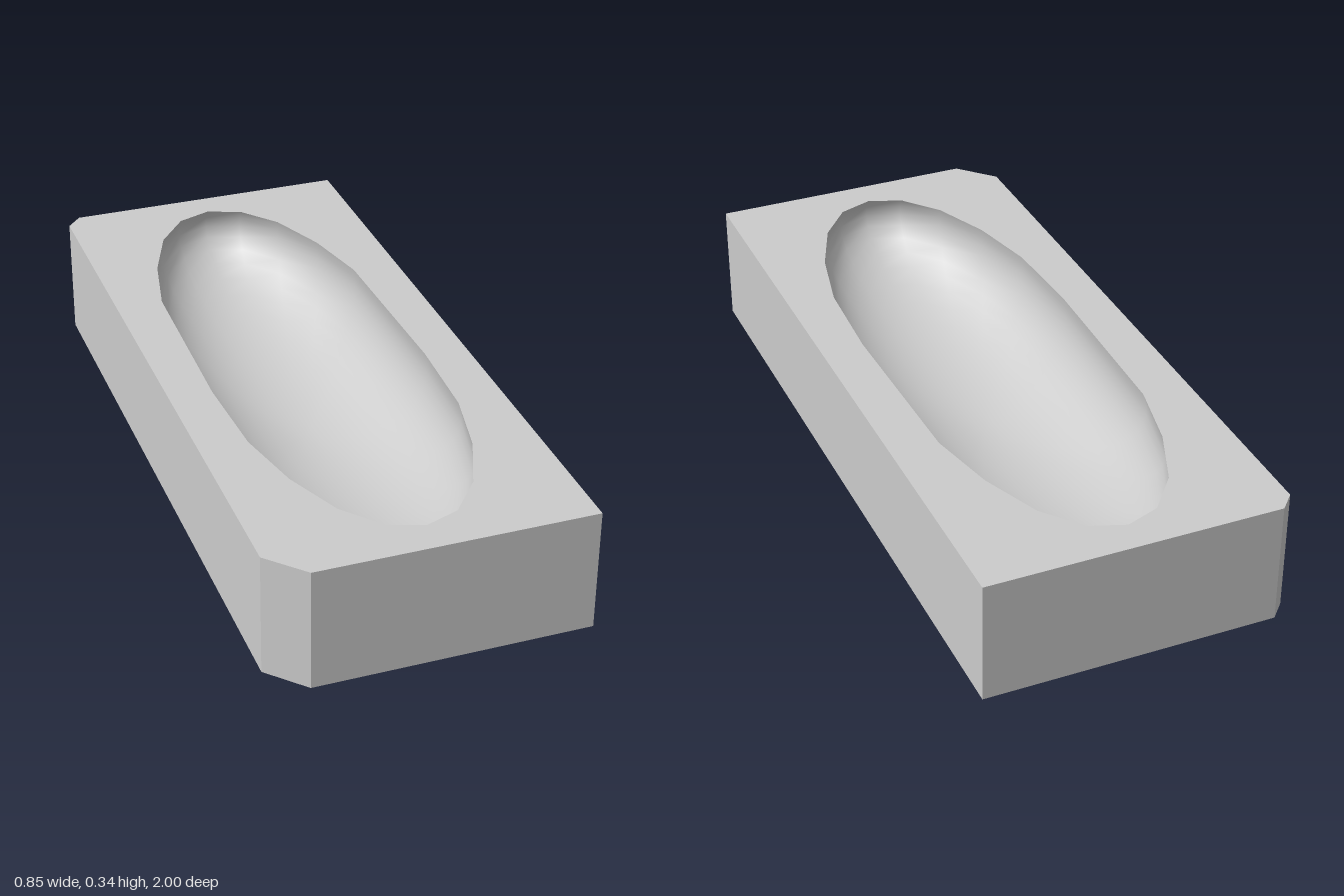
import * as THREE from 'three';

const HEIGHT = 0.345;
// The hollow is widest a little below the top face, so its rim overhangs slightly
const WAIST = 0.05, BOWL = 0.24;

// Plan coordinates are (x, -z), counter-clockwise seen from above
const OUTLINE = [[-0.333, -1], [0.427, -1], [0.427, 1], [-0.385, 1], [-0.427, 0.955], [-0.427, -0.9]]
  .map(([x, y]) => new THREE.Vector2(x, y));

// Twenty-sided oval rim, from the front end to the back end and round again
const RIM_Z = [0.905, 0.87, 0.765, 0.6, 0.4, 0.13, -0.4, -0.6, -0.77, -0.875, -0.91];
const RIM_X = [0, 0.096, 0.182, 0.25, 0.294, 0.307, 0.294, 0.25, 0.182, 0.096, 0];
const SIDES = 20;
const RIM = Array.from({ length: SIDES }, (_, k) => (k <= 10
  ? new THREE.Vector2(RIM_X[k], -RIM_Z[k])
  : new THREE.Vector2(-RIM_X[SIDES - k], -RIM_Z[SIDES - k])));

function makeGeometry(positions, index) {
  const geometry = new THREE.BufferGeometry();
  geometry.setAttribute('position', new THREE.Float32BufferAttribute(positions, 3));
  if (index) geometry.setIndex(index);
  geometry.computeVertexNormals();
  return geometry;
}

// Vertical faces around the outline, with hard edges
function wallGeometry() {
  const p = [];
  OUTLINE.forEach((a, i) => {
    const b = OUTLINE[(i + 1) % OUTLINE.length];
    const a0 = [a.x, 0, -a.y], b0 = [b.x, 0, -b.y];
    const a1 = [a.x, HEIGHT, -a.y], b1 = [b.x, HEIGHT, -b.y];
    p.push(...a0, ...b0, ...b1, ...a0, ...b1, ...a1);
  });
  return makeGeometry(p);
}

// Rounded hollow: the rim swells to the waist, then closes along an ellipse to one point
function hollowGeometry() {
  const rings = 14, p = [], index = [];
  const start = -Math.asin(WAIST / BOWL);
  for (let j = 0; j < rings; j++) {
    const t = THREE.MathUtils.lerp(start, Math.PI / 2, j / rings);
    const s = Math.cos(t) / Math.cos(start);
    for (const r of RIM) p.push(r.x * s, HEIGHT - WAIST - BOWL * Math.sin(t), -r.y * s);
  }
  p.push(0, HEIGHT - WAIST - BOWL, 0);
  for (let j = 0; j < rings; j++) {
    for (let i = 0; i < SIDES; i++) {
      const n = (i + 1) % SIDES;
      const a = j * SIDES + i, b = j * SIDES + n;
      if (j === rings - 1) index.push(a, b, rings * SIDES);
      else index.push(a, b, b + SIDES, a, b + SIDES, a + SIDES);
    }
  }
  return makeGeometry(p, index);
}

export function createModel() {
  const group = new THREE.Group();
  group.name = 'mouldBlock';
  const material = new THREE.MeshStandardMaterial({ color: 0xcccccc });
  const add = (name, geometry) => {
    const mesh = new THREE.Mesh(geometry, material);
    mesh.name = name;
    group.add(mesh);
  };

  // Top face, cut open by the rim
  const top = new THREE.Shape(OUTLINE);
  top.holes.push(new THREE.Path([...RIM].reverse()));
  add('topFace', new THREE.ShapeGeometry(top).rotateX(-Math.PI / 2).translate(0, HEIGHT, 0));

  // Underside, turned to face down
  const under = new THREE.Shape(OUTLINE.map(v => new THREE.Vector2(v.x, -v.y)));
  add('underside', new THREE.ShapeGeometry(under).rotateX(Math.PI / 2));

  add('sideWalls', wallGeometry());
  add('hollow', hollowGeometry());
  return group;
}
